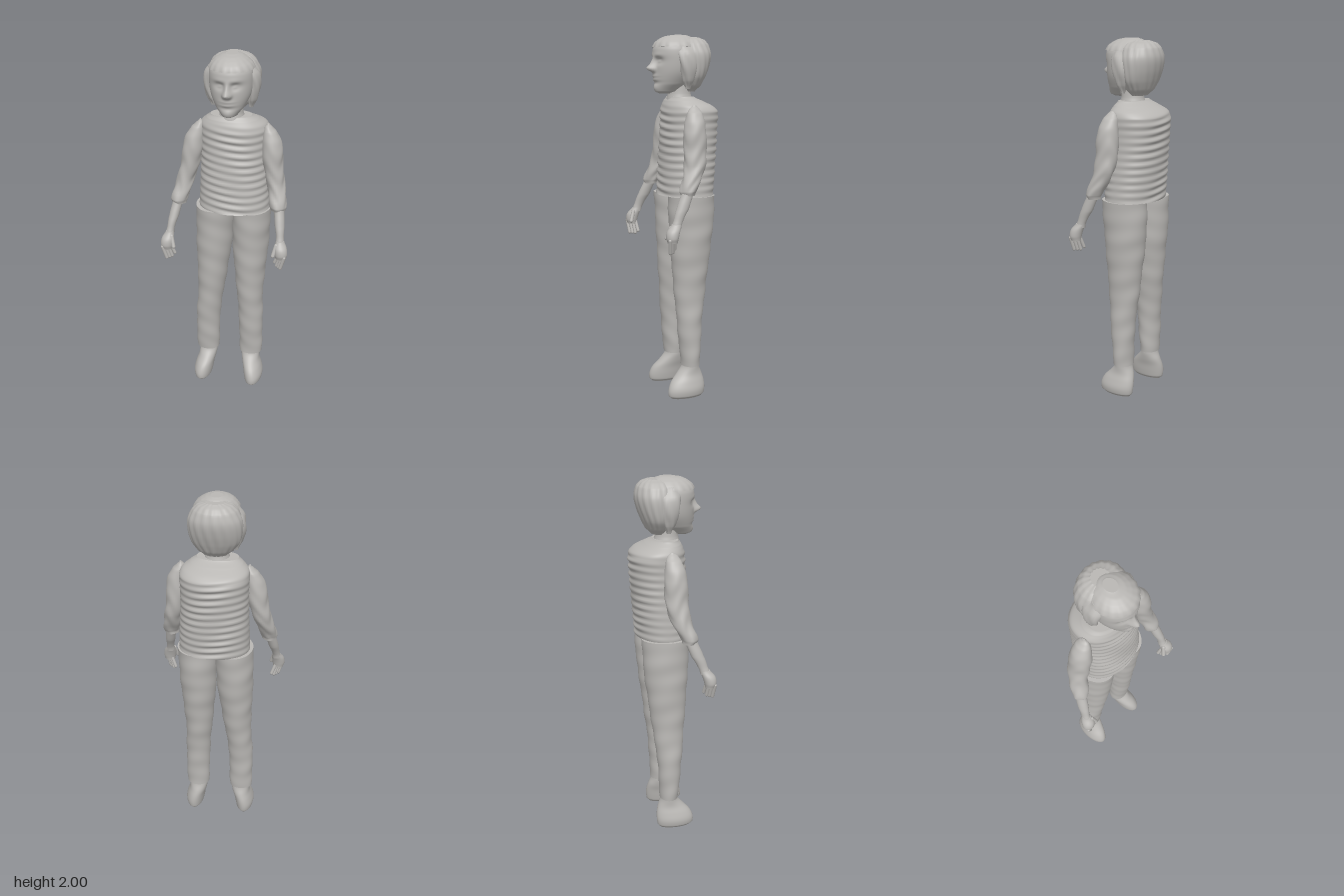
import * as THREE from 'three';

const grey = new THREE.MeshStandardMaterial({ color: 0xb9b7b4, side: THREE.DoubleSide });
grey.name = 'plain grey';

const gauss = (d, s) => Math.exp(-(d * d) / (2 * s * s));

// Smooth skin over horizontal sections [y, xMin, xMax, zMin, zMax], listed bottom to top.
// bump(x, y, t) pushes a point outwards; flat end caps are separate so rims stay crisp.
function loft(name, rows, { seg = 32, steps = 5, bump = null, power = 1 } = {}) {
  const pos = [], idx = [], rings = [];
  for (let i = 0; i < rows.length - 1; i++) {
    const r = k => rows[Math.min(Math.max(k, 0), rows.length - 1)];
    const [a, b, c, d] = [r(i - 1), r(i), r(i + 1), r(i + 2)];
    const last = i === rows.length - 2 ? 1 : 0;
    for (let s = 0; s < steps + last; s++) {
      const u = s / steps;
      rings.push(b.map((v, k) => k === 0 ? v + (c[0] - v) * u : v + 0.5 * u * (c[k] - a[k]
        + u * (2 * a[k] - 5 * v + 4 * c[k] - d[k] + u * (3 * (v - c[k]) + d[k] - a[k])))));
    }
  }
  const addRing = ([y, x0, x1, z0, z1]) => {
    const cx = (x0 + x1) / 2, cz = (z0 + z1) / 2;
    for (let j = 0; j < seg; j++) {
      const t = j / seg * Math.PI * 2;
      const sx = Math.sign(Math.sin(t)) * Math.abs(Math.sin(t)) ** power;
      const sz = Math.sign(Math.cos(t)) * Math.abs(Math.cos(t)) ** power;
      const x = cx + (x1 - x0) / 2 * sx, z = cz + (z1 - z0) / 2 * sz;
      const e = bump ? bump(x, y, t) : 0;
      pos.push(x + e * Math.sin(t), y, z + e * Math.cos(t));
    }
  };
  rings.forEach(addRing);
  for (let i = 0; i < rings.length - 1; i++) for (let j = 0; j < seg; j++) {
    const a = i * seg + j, b = i * seg + (j + 1) % seg;
    idx.push(a, b, b + seg, a, b + seg, a + seg);
  }
  for (const [ring, up] of [[rings[0], false], [rings.at(-1), true]]) {
    const base = pos.length / 3;
    addRing(ring);
    pos.push((ring[1] + ring[2]) / 2, ring[0], (ring[3] + ring[4]) / 2);
    for (let j = 0; j < seg; j++) {
      const a = base + j, b = base + (j + 1) % seg;
      idx.push(...(up ? [a, b, base + seg] : [b, a, base + seg]));
    }
  }
  const g = new THREE.BufferGeometry();
  g.setAttribute('position', new THREE.Float32BufferAttribute(pos, 3));
  g.setIndex(idx);
  g.computeVertexNormals();
  const m = new THREE.Mesh(g, grey);
  m.name = name;
  return m;
}

// Same rows on the other side of the body, with a sideways lean that grows with height
const forSide = (rows, side, lean) => rows.map(([y, a, b, z0, z1]) => {
  const o = lean(y);
  return side > 0 ? [y, a + o, b + o, z0, z1] : [y, -b + o, -a + o, z0, z1];
});

// Tapered finger between two points
function finger(name, from, to, r) {
  const a = new THREE.Vector3(...from), b = new THREE.Vector3(...to);
  const dir = b.clone().sub(a);
  const m = new THREE.Mesh(new THREE.CapsuleGeometry(r, dir.length(), 4, 10), grey);
  m.position.copy(a).add(b).multiplyScalar(0.5);
  m.quaternion.setFromUnitVectors(new THREE.Vector3(0, 1, 0), dir.normalize());
  m.name = name;
  return m;
}

function createLeg(side) {
  const leg = new THREE.Group();
  leg.name = side > 0 ? 'leftLeg' : 'rightLeg';
  const lean = y => 0.022 * Math.max(0, (y - 0.4) / 0.74);
  leg.add(loft('trouser', forSide([
    [0.18, 0.065, 0.195, -0.065, 0.04],
    [0.3, 0.06, 0.198, -0.07, 0.052],
    [0.45, 0.055, 0.196, -0.08, 0.065],
    [0.6, 0.038, 0.19, -0.1, 0.078],
    [0.75, 0.02, 0.197, -0.118, 0.09],
    [0.9, 0.004, 0.205, -0.137, 0.1],
    [1.02, 0, 0.208, -0.147, 0.108],
    [1.14, 0, 0.208, -0.15, 0.115],
  ], side, lean), {
    seg: 40, steps: 8,
    bump: (x, y, t) => 0.0025 * Math.sin(y * 42 + 2 * Math.sin(t + side)) * Math.sin(y * 13 + t),
  }));
  leg.add(loft('shoe', forSide([
    [0, 0.115, 0.19, -0.07, 0.11],
    [0.015, 0.103, 0.203, -0.083, 0.126],
    [0.05, 0.096, 0.207, -0.088, 0.126],
    [0.09, 0.09, 0.197, -0.086, 0.108],
    [0.13, 0.08, 0.184, -0.076, 0.07],
    [0.17, 0.074, 0.182, -0.06, 0.036],
    [0.21, 0.078, 0.182, -0.055, 0.03],
  ], side, () => 0)));
  return leg;
}

function createArm(side) {
  const arm = new THREE.Group();
  arm.name = side > 0 ? 'leftArm' : 'rightArm';
  const lean = y => 0.025 * Math.max(0, (y - 1) / 0.6);
  arm.add(loft('sleeve', forSide([
    [1.165, 0.235, 0.312, 0.03, 0.105],
    [1.19, 0.228, 0.318, 0.022, 0.112],
    [1.26, 0.21, 0.305, -0.015, 0.088],
    [1.32, 0.195, 0.292, -0.04, 0.076],
    [1.4, 0.172, 0.278, -0.052, 0.073],
    [1.48, 0.16, 0.272, -0.052, 0.072],
    [1.54, 0.157, 0.258, -0.047, 0.062],
    [1.59, 0.16, 0.228, -0.038, 0.045],
    [1.615, 0.165, 0.202, -0.025, 0.028],
    [1.63, 0.178, 0.188, -0.01, 0.01],
  ], side, lean), {
    bump: (x, y, t) => 0.003 * Math.sin(y * 55 + 3 * Math.sin(t * 2)) * gauss(y - 1.3, 0.16),
  }));
  arm.add(loft('forearm', forSide([
    [1.0, 0.283, 0.33, 0.118, 0.172],
    [1.04, 0.282, 0.324, 0.105, 0.158],
    [1.1, 0.266, 0.32, 0.07, 0.138],
    [1.2, 0.25, 0.305, 0.035, 0.1],
  ], side, lean), { seg: 24 }));
  arm.add(loft('palm', forSide([
    [0.925, 0.288, 0.345, 0.143, 0.196],
    [0.95, 0.283, 0.352, 0.138, 0.204],
    [0.985, 0.28, 0.347, 0.128, 0.198],
    [1.02, 0.284, 0.328, 0.115, 0.17],
  ], side, lean), { seg: 24 }));
  for (let i = 0; i < 4; i++) {
    const x = 0.338 - i * 0.012, z = 0.192 - i * 0.013;
    arm.add(finger('finger' + (i + 1), [side * x, 0.94, z],
      [side * (x - 0.02), i === 3 ? 0.885 : 0.872, z - 0.008], 0.0095));
  }
  arm.add(finger('thumb', [side * 0.29, 1.0, 0.17], [side * 0.276, 0.945, 0.188], 0.011));
  return arm;
}

function createHead() {
  const head = new THREE.Group();
  head.name = 'head';
  const mid = 0.018;
  // Facial relief: nose, brow, eye sockets, eyeballs, lips and chin
  const face = (x, y, t) => {
    if (Math.cos(t) < 0) return 0;
    const d = x - mid, a = Math.abs(d);
    const spot = (h, dx, sx, cy, sy) => h * gauss(a - dx, sx) * gauss(y - cy, sy);
    return spot(0.037, 0, 0.012, 1.822, 0.013) + spot(0.02, 0, 0.01, 1.85, 0.02)
      + spot(0.009, 0.015, 0.007, 1.815, 0.008) + spot(0.005, 0.035, 0.025, 1.89, 0.01)
      - spot(0.015, 0.042, 0.018, 1.863, 0.013) + spot(0.008, 0.042, 0.011, 1.86, 0.006)
      + spot(0.011, 0, 0.022, 1.772, 0.013) - spot(0.008, 0, 0.024, 1.772, 0.004)
      - spot(0.006, 0, 0.03, 1.748, 0.008) + spot(0.006, 0, 0.02, 1.718, 0.014);
  };
  head.add(loft('face', [
    [1.69, 0, 0.036, 0.06, 0.125],
    [1.7, -0.025, 0.061, 0.01, 0.145],
    [1.74, -0.058, 0.094, -0.03, 0.15],
    [1.8, -0.086, 0.122, -0.07, 0.153],
    [1.86, -0.096, 0.132, -0.08, 0.153],
    [1.92, -0.095, 0.131, -0.08, 0.155],
    [1.96, -0.078, 0.114, -0.06, 0.135],
    [1.985, -0.045, 0.08, -0.03, 0.1],
  ], { seg: 120, steps: 9, bump: face }));
  head.add(loft('neck', [
    [1.65, -0.056, 0.086, -0.066, 0.078],
    [1.69, -0.046, 0.076, -0.055, 0.07],
    [1.76, -0.042, 0.072, -0.052, 0.07],
  ]));
  // Faint combed strands
  const strands = (x, y, t) => 0.0025 * Math.sin(t * 17 + y * 25);
  head.add(loft('hairTop', [
    [1.935, -0.1, 0.138, -0.1, 0.157],
    [1.96, -0.086, 0.124, -0.09, 0.144],
    [1.98, -0.065, 0.1, -0.07, 0.118],
    [1.993, -0.038, 0.075, -0.05, 0.088],
    [2.0, -0.015, 0.05, -0.03, 0.05],
  ], { seg: 72, bump: (x, y, t) => strands(x, y, t) * (2 - y) * 15 }));
  head.add(loft('hairBack', [
    [1.7, -0.04, 0.075, -0.075, -0.01],
    [1.73, -0.075, 0.11, -0.105, 0.015],
    [1.78, -0.11, 0.142, -0.13, 0.03],
    [1.84, -0.122, 0.155, -0.152, 0.04],
    [1.9, -0.12, 0.155, -0.163, 0.05],
    [1.95, -0.098, 0.132, -0.152, 0.05],
    [1.975, -0.07, 0.105, -0.13, 0.03],
    [1.988, -0.03, 0.065, -0.1, 0],
  ], { seg: 72, bump: strands }));
  // Loose locks framing the cheeks
  for (const side of [-1, 1]) {
    head.add(loft(side > 0 ? 'leftLock' : 'rightLock', forSide([
      [1.715, 0.092, 0.108, -0.012, 0.008],
      [1.76, 0.085, 0.132, -0.03, 0.03],
      [1.83, 0.09, 0.149, -0.05, 0.048],
      [1.9, 0.08, 0.142, -0.05, 0.058],
      [1.955, 0.06, 0.105, -0.03, 0.05],
    ], side, () => 0.015), { seg: 24, bump: (x, y, t) => 0.003 * Math.sin(t * 5 + y * 40) }));
  }
  return head;
}

export function createModel() {
  const model = new THREE.Group();
  model.name = 'standingFigure';

  // Jumper with horizontal folds, deepest on the front and back
  const folds = (x, y, t) => {
    const depth = (0.25 + 0.75 * Math.abs(Math.cos(t))) * Math.min(1, Math.max(0, (1.64 - y) / 0.08));
    return 0.0055 * depth * Math.sin(y * 150 + 1.5 * Math.sin(x * 11) + 0.8 * Math.cos(t))
      * (0.75 + 0.25 * Math.sin(x * 23 + y * 17));
  };
  model.add(loft('jumper', [
    [1.137, -0.168, 0.222, -0.165, 0.125],
    [1.25, -0.165, 0.215, -0.175, 0.12],
    [1.4, -0.16, 0.207, -0.186, 0.112],
    [1.52, -0.16, 0.205, -0.194, 0.106],
    [1.59, -0.162, 0.207, -0.195, 0.102],
    [1.62, -0.155, 0.195, -0.17, 0.096],
    [1.65, -0.125, 0.155, -0.11, 0.082],
    [1.672, -0.1, 0.122, -0.065, 0.066],
  ], { seg: 72, steps: 16, bump: folds, power: 0.92 }));

  model.add(createHead());
  for (const side of [-1, 1]) model.add(createLeg(side), createArm(side));
  return model;
}
